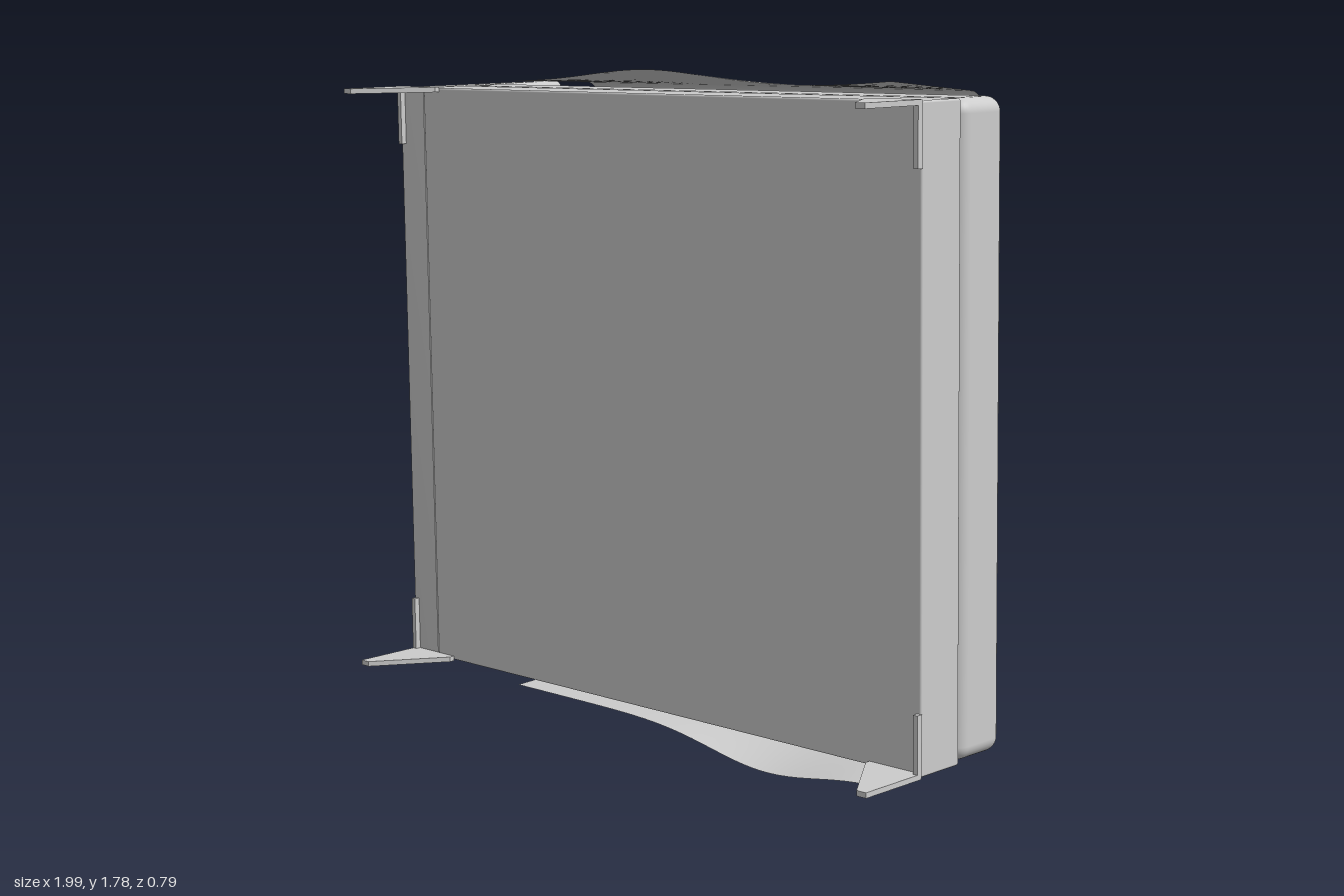
import * as THREE from 'three';
import { toCreasedNormals } from 'three/addons/utils/BufferGeometryUtils.js';
import { RoundedBoxGeometry } from 'three/addons/geometries/RoundedBoxGeometry.js';

// The bed lies on its side: x = length (head at -x), y = width, -z = the bed's own "up".
const grey = new THREE.MeshStandardMaterial({ color: 0xcccccc, side: THREE.DoubleSide });
grey.name = 'plain grey';

const HALF = 0.823; // half width of the bed

function add(parent, name, geometry, x = 0, y = 0, z = 0) {
  const mesh = new THREE.Mesh(geometry, grey);
  mesh.name = name;
  mesh.position.set(x, y, z);
  parent.add(mesh);
  return mesh;
}

// Box given by its limits, with optional rounded edges
function block(parent, name, [x0, x1], [y0, y1], [z0, z1], r = 0) {
  const size = [x1 - x0, y1 - y0, z1 - z0];
  const geo = r ? new RoundedBoxGeometry(...size, 4, r) : new THREE.BoxGeometry(...size);
  return add(parent, name, geo, (x0 + x1) / 2, (y0 + y1) / 2, (z0 + z1) / 2);
}

// Outline of [x, z] points extruded across the width, centred on y = 0
function slab(points, width, bevel = 0) {
  const shape = new THREE.Shape(points.map(([x, z]) => new THREE.Vector2(x, -z)));
  const geo = new THREE.ExtrudeGeometry(shape, {
    depth: width - 2 * bevel, bevelEnabled: bevel > 0, bevelSize: bevel,
    bevelThickness: bevel, bevelOffset: -bevel, bevelSegments: 4,
  });
  geo.translate(0, 0, bevel - width / 2);
  geo.rotateX(-Math.PI / 2);
  return toCreasedNormals(geo, 0.6);
}

// Plump pillow: a sphere squared off in plan, domed above and nearly flat below
function pillowGeometry(halfLength, halfWidth) {
  const geo = new THREE.SphereGeometry(1, 48, 32);
  geo.rotateX(Math.PI / 2);
  const p = geo.attributes.position;
  for (let i = 0; i < p.count; i++) {
    const x = p.getX(i), y = p.getY(i), z = p.getZ(i);
    const rho = Math.hypot(x, y) || 1e-6;
    const k = 1 / Math.pow((x / rho) ** 4 + (y / rho) ** 4, 0.25);
    const height = z < 0 ? -0.112 * Math.pow(-z, 1.25) : 0.03 * z;
    p.setXYZ(i, x * k * halfLength, y * k * halfWidth, height);
  }
  geo.computeVertexNormals();
  return geo;
}

// Blanket: cross-sections swept along the bed, with wavy flaring sides
function blanketGeometry() {
  const x0 = -0.49, x1 = 0.875, rows = 40, hem = 0.127, r = 0.05, half = HALF + 0.012;
  const flareUp = (t) => 0.012 + 0.038 * Math.exp(-(((t - 0.4) / 0.22) ** 2)) + 0.02 * t ** 6;
  const flareDown = (t) => 0.008 + 0.062 * Math.exp(-(((t - 0.69) / 0.2) ** 2)) + 0.02 * t ** 6;
  const section = (t) => {
    const top = -0.226 - 0.02 * Math.sin(Math.PI * t);
    const side = (s, flare) => {
      const pts = [];
      for (let i = 0; i <= 6; i++) {
        const q = 1 - i / 6;
        pts.push([s * (half + flare * q), THREE.MathUtils.lerp(top + r, hem, q)]);
      }
      for (let i = 1; i <= 6; i++) {
        const a = (i / 6) * Math.PI / 2;
        pts.push([s * (half - r + r * Math.cos(a)), top + r - r * Math.sin(a)]);
      }
      return pts;
    };
    return [...side(-1, flareDown(t)), ...side(1, flareUp(t)).reverse()];
  };
  const positions = [], index = [];
  for (let i = 0; i <= rows; i++) {
    const ring = section(i / rows), n = ring.length;
    ring.forEach(([y, z], j) => {
      positions.push(THREE.MathUtils.lerp(x0, x1, i / rows), y, z);
      if (i < rows && j < n - 1) {
        const a = i * n + j, b = a + n;
        index.push(a, a + 1, b, b, a + 1, b + 1);
      }
    });
  }
  const geo = new THREE.BufferGeometry();
  geo.setAttribute('position', new THREE.Float32BufferAttribute(positions, 3));
  geo.setIndex(index);
  geo.computeVertexNormals();
  return geo;
}

// Corner leg: a triangular blade with a thin mounting strip running inward
function leg(parent, name, x, end, side) {
  const group = new THREE.Group();
  group.name = name;
  const blade = [[0, 0.115], [0.165, 0.115], [0.165, 0.13], [0.03, 0.322], [0, 0.322]]
    .map(([dx, z]) => [x + dx * end, z]);
  add(group, 'legBlade', slab(end > 0 ? blade : blade.reverse(), 0.014), 0, side * (HALF - 0.004), 0);
  const xs = [x, x + 0.014 * end].sort((a, b) => a - b);
  const ys = [side * (HALF - 0.16), side * HALF].sort((a, b) => a - b);
  block(group, 'legStrip', xs, ys, [0.113, 0.13]);
  parent.add(group);
}

export function createModel() {
  const model = new THREE.Group();
  model.name = 'bed';
  const bed = new THREE.Group();
  bed.name = 'tiltedBed';
  bed.position.set(0, 0.895, 0);
  bed.rotation.set(0, 0.075, 0.018);
  model.add(bed);

  // Base and mattress
  block(bed, 'bedFrame', [-0.85, 0.96], [-HALF, HALF], [-0.034, 0.114], 0.006);
  block(bed, 'mattress', [-0.875, 0.958], [-HALF, HALF], [-0.212, -0.036], 0.038);

  // Headboard, thinner toward its top
  add(bed, 'headboard', slab(
    [[-0.948, 0.114], [-0.85, 0.114], [-0.885, -0.43], [-0.892, -0.455], [-0.91, -0.467], [-0.948, -0.467]],
    HALF * 2, 0.016));

  // Bedding
  add(bed, 'blanket', blanketGeometry());
  for (const s of [-1, 1]) {
    add(bed, s > 0 ? 'upperPillow' : 'lowerPillow', pillowGeometry(0.185, 0.385), -0.675, s * 0.4, -0.242);
  }

  // Legs
  for (const s of [-1, 1]) {
    leg(bed, 'headLeg', -0.945, 1, s);
    leg(bed, 'footLeg', 0.962, -1, s);
  }
  return model;
}
